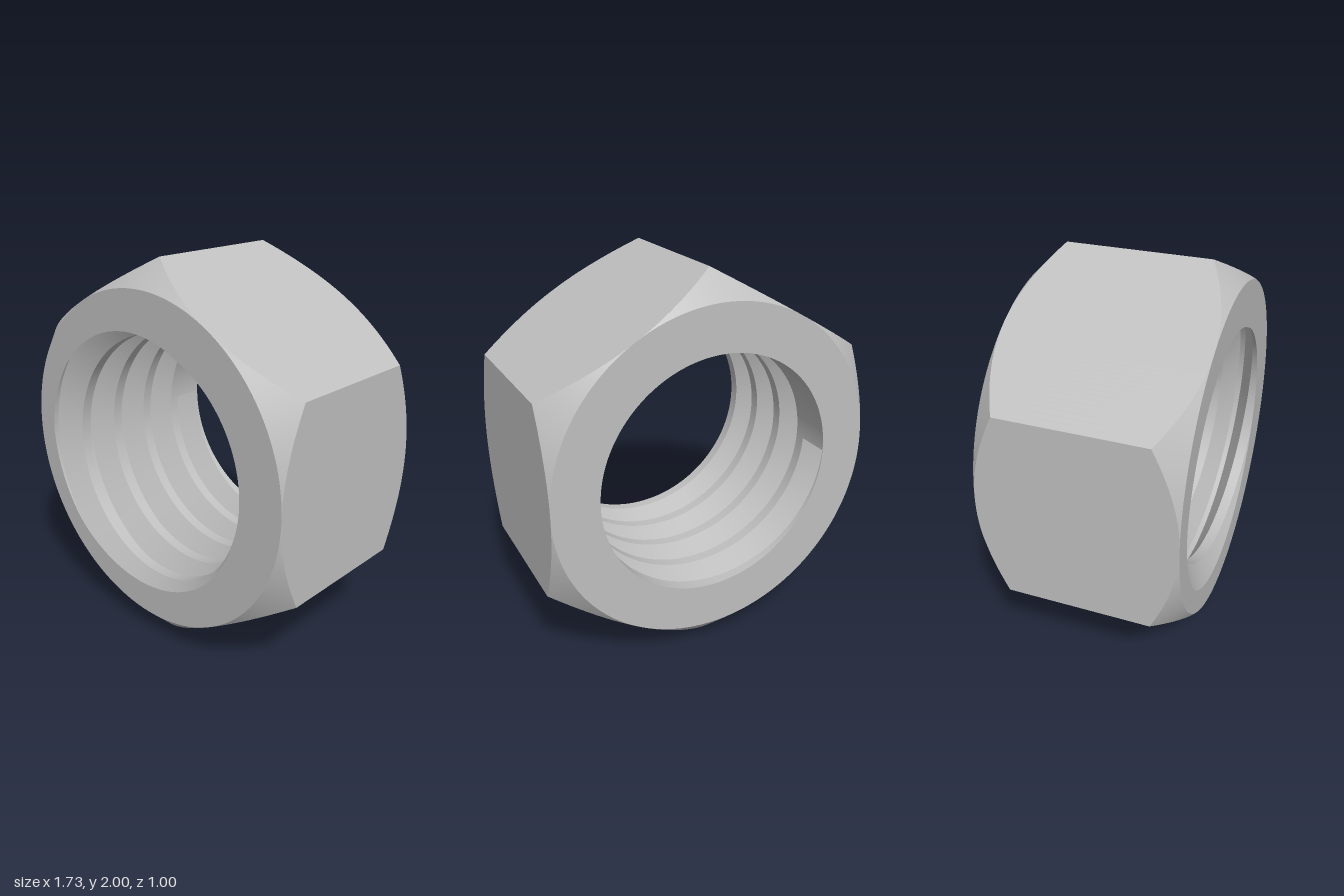
import * as THREE from 'three';
import { toCreasedNormals } from 'three/addons/utils/BufferGeometryUtils.js';

const FLAT = Math.sqrt(3) / 2;      // centre to flat of the hexagon
const HALF = 0.5;                   // half the thickness
const MINOR = 0.625, MAJOR = 0.75;  // bore and thread root radii
const PITCH = 0.225, START_Z = -0.414;
const MOUTH = PITCH * 3 / 8, ROOT = PITCH / 16; // half widths of the groove
const STEPS = 240, TURNS = 5;

// Depth profile of the groove at distance d from its centre
const grooveRadius = (d) =>
  MINOR + (MAJOR - MINOR) * THREE.MathUtils.clamp((MOUTH - Math.abs(d)) / (MOUTH - ROOT), 0, 1);

// Groove centre for turn k; t runs 0..1 round the bore from the -x side
const grooveZ = (t, k) => START_Z + PITCH * (t + k);

// Radius of the bore where it meets the front face
function frontRadius(t) {
  let r = MINOR;
  for (let k = 0; k < TURNS; k++) r = Math.max(r, grooveRadius(HALF - grooveZ(t, k)));
  return r;
}

// Hexagon radius, with corners at top and bottom
function hexRadius(t) {
  const sector = Math.PI / 3;
  const a = t * Math.PI * 2;
  return FLAT / Math.cos(a - Math.round(a / sector) * sector);
}

// Sweeps a cross-section of [radius, z] points, which may vary with t, round the z axis
function sweep(name, profile, material) {
  const columns = [];
  for (let i = 0; i <= STEPS; i++) {
    const t = i / STEPS, a = Math.PI * (1 + 2 * t);
    columns.push(profile(t).map(([r, z]) => new THREE.Vector3(r * Math.cos(a), r * Math.sin(a), z)));
  }
  const positions = [];
  const triangle = (a, b, c) => {
    if (new THREE.Triangle(a, b, c).getArea() > 1e-8)
      for (const p of [a, b, c]) positions.push(p.x, p.y, p.z);
  };
  for (let i = 0; i < STEPS; i++) {
    const p = columns[i], q = columns[i + 1];
    for (let j = 0; j < p.length - 1; j++) {
      triangle(p[j], p[j + 1], q[j]);
      triangle(q[j], p[j + 1], q[j + 1]);
    }
  }
  const geometry = new THREE.BufferGeometry();
  geometry.setAttribute('position', new THREE.Float32BufferAttribute(positions, 3));
  const mesh = new THREE.Mesh(toCreasedNormals(geometry, 0.45), material);
  mesh.name = name;
  return mesh;
}

// Bore cross-section from back to front, cut off at the front face
function threadProfile(t) {
  const end = [frontRadius(t), HALF];
  const points = [[MINOR, -HALF]];
  for (let k = 0; k < TURNS; k++) {
    for (const d of [-MOUTH, -ROOT, ROOT, MOUTH]) {
      const z = grooveZ(t, k) + d;
      points.push(z < HALF ? [grooveRadius(d), z] : end);
    }
  }
  points.push(end);
  return points;
}

// Flat wall where the thread groove begins
function grooveEnd(material) {
  const p = [-MOUTH, -ROOT, ROOT, MOUTH].map((d) => [-grooveRadius(d), 0, START_Z + d]);
  const geometry = new THREE.BufferGeometry();
  geometry.setAttribute('position',
    new THREE.Float32BufferAttribute([0, 3, 2, 0, 2, 1].flatMap((i) => p[i]), 3));
  geometry.computeVertexNormals();
  const mesh = new THREE.Mesh(geometry, material);
  mesh.name = 'grooveEnd';
  return mesh;
}

export function createModel() {
  const steel = new THREE.MeshStandardMaterial({ color: 0xbfbfbf });
  steel.name = 'steel';

  const nut = new THREE.Group();
  nut.name = 'hexNut';
  // Six flats with a 45 degree conical chamfer on both ends
  nut.add(sweep('hexBody', (t) => {
    const r = hexRadius(t), z = HALF - (r - FLAT);
    return [[FLAT, HALF], [r, z], [r, -z], [FLAT, -HALF]];
  }, steel));
  nut.add(sweep('frontFace', (t) => [[frontRadius(t), HALF], [FLAT, HALF]], steel));
  nut.add(sweep('backFace', () => [[FLAT, -HALF], [MINOR, -HALF]], steel));
  nut.add(sweep('thread', threadProfile, steel));
  nut.add(grooveEnd(steel));
  nut.position.y = 1;

  const model = new THREE.Group();
  model.add(nut);
  return model;
}
